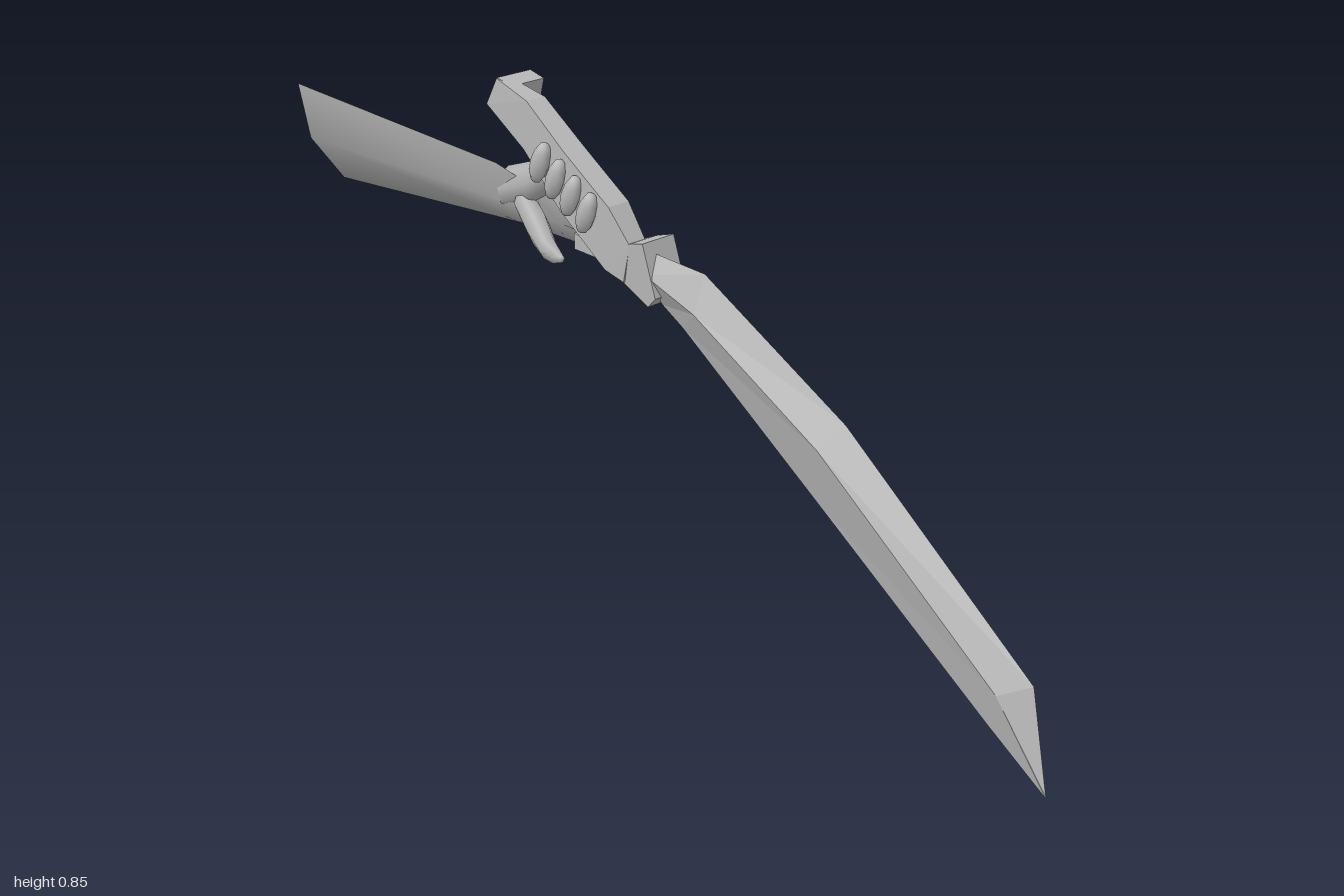
import * as THREE from 'three';

const steel = new THREE.MeshStandardMaterial({ color: 0xb8b8b8, side: THREE.DoubleSide });
steel.name = 'plain grey';

// Skin a row of cross-sections (each a list of [x, y, z]); flat or smooth.
function loft(name, sections, { closed = true, smooth = false } = {}) {
  const n = sections[0].length;
  const index = [];
  for (let s = 0; s < sections.length - 1; s++) {
    for (let i = 0; i < (closed ? n : n - 1); i++) {
      const a = s * n + i, b = s * n + (i + 1) % n;
      index.push(a, b, a + n, b, b + n, a + n);
    }
  }
  if (closed) {
    const last = (sections.length - 1) * n;
    for (let i = 1; i < n - 1; i++) {
      index.push(0, i + 1, i, last, last + i, last + i + 1);
    }
  }
  let geo = new THREE.BufferGeometry();
  geo.setAttribute('position', new THREE.Float32BufferAttribute(sections.flat(2), 3));
  geo.setIndex(index);
  if (!smooth) geo = geo.toNonIndexed();
  geo.computeVertexNormals();
  const mesh = new THREE.Mesh(geo, steel);
  mesh.name = name;
  return mesh;
}

// Rectangular section, slanted so that its top and bottom can differ in z.
const slab = ([x0, x1, top, zTop, bottom, zBottom]) => [
  [x0, top, zTop], [x1, top, zTop], [x1, bottom, zBottom], [x0, bottom, zBottom],
];

// Oval section of an arm or thumb.
function oval([x, y, z, rx, ry], sides = 8) {
  return Array.from({ length: sides }, (_, i) => {
    const a = -i / sides * Math.PI * 2;
    return [x + rx * Math.cos(a), y + ry * Math.sin(a), z];
  });
}

export function createModel() {
  const model = new THREE.Group();
  model.name = 'swordInHand';

  // Blade: spine, ridge on both sides, cutting edge.
  const blade = [
    // x, half width, spine y z, ridge y z, edge y z
    [-0.086, 0.024, 0.62, 0.06, 0.585, 0.07, 0.53, 0.09],
    [-0.1, 0.028, 0.615, 0.2, 0.55, 0.2, 0.507, 0.15],
    [-0.147, 0.028, 0.455, 0.545, 0.41, 0.51, 0.305, 0.49],
    [-0.204, 0.017, 0.17, 0.96, 0.14, 0.905, 0.075, 0.88],
    [-0.215, 0.001, 0.003, 1, 0.002, 1, 0, 1],
  ].map(([x, w, sy, sz, ry, rz, ey, ez]) => [
    [x, sy, sz], [x + w, ry, rz], [x, ey, ez], [x - w, ry, rz],
  ]).reverse();
  model.add(loft('blade', blade));

  // Flared collar between blade and grip.
  model.add(loft('collar', [
    [-0.115, -0.037, 0.642, 0.07, 0.55, 0.1],
    [-0.112, -0.045, 0.635, 0.04, 0.53, 0.08],
    [-0.105, -0.07, 0.62, 0.0, 0.56, 0.01],
  ].map(slab)));

  // Grip, deep in the middle and rising towards the pommel.
  model.add(loft('grip', [
    [-0.11, -0.07, 0.63, 0.035, 0.56, 0.02],
    [-0.115, -0.065, 0.69, -0.01, 0.575, -0.02],
    [-0.105, -0.055, 0.765, -0.13, 0.655, -0.14],
    [-0.085, -0.04, 0.83, -0.24, 0.74, -0.25],
    [-0.068, -0.04, 0.852, -0.335, 0.8, -0.363],
  ].map(slab)));

  // Pommel hooked out to the side, with a tapering tongue below.
  model.add(loft('pommel', [
    [-0.066, 0.016, 0.853, -0.335, 0.843, -0.3],
    [-0.062, 0.02, 0.8, -0.366, 0.798, -0.315],
    [-0.042, -0.008, 0.722, -0.29, 0.722, -0.27],
  ].map(([x0, x1, y0, z0, y1, z1]) => [
    [x0, y0, z0], [x1, y0, z0], [x1, y1, z1], [x0, y1, z1],
  ])));

  // Four fingers curled around the far side of the grip.
  const fingers = new THREE.Group();
  fingers.name = 'fingers';
  for (let i = 0; i < 4; i++) {
    const finger = new THREE.Mesh(new THREE.SphereGeometry(1, 8, 6), steel);
    finger.name = 'finger';
    finger.scale.set(0.017, 0.042, 0.019);
    finger.position.set(-0.118 + i * 0.004, 0.67 + i * 0.021, -0.06 - i * 0.042);
    finger.rotation.x = 0.35;
    fingers.add(finger);
  }
  model.add(fingers);

  // Palm and wrist running from the grip back into the sleeve.
  model.add(loft('palm', [
    [-0.075, 0.715, -0.14, 0.022, 0.03],
    [-0.065, 0.71, -0.19, 0.028, 0.038],
    [-0.045, 0.67, -0.26, 0.03, 0.04],
    [-0.02, 0.635, -0.36, 0.03, 0.04],
    [0.0, 0.62, -0.42, 0.012, 0.015],
  ].map((s) => oval(s)), { smooth: true }));

  // Heel of the hand below the grip, ending in the pointed thumb.
  model.add(loft('thumb', [
    [-0.178, 0.6, -0.06, 0.006, 0.006],
    [-0.16, 0.595, -0.095, 0.014, 0.015],
    [-0.125, 0.588, -0.15, 0.022, 0.02],
    [-0.085, 0.6, -0.215, 0.028, 0.03],
    [-0.04, 0.625, -0.3, 0.025, 0.03],
  ].map((s) => oval(s, 6)), { smooth: true }));

  // Underside strip joining the collar to the sleeve.
  model.add(loft('handGuardStrap', [
    [-0.1, -0.07, 0.575, 0.02, 0.56, 0.02],
    [-0.09, -0.05, 0.6, -0.06, 0.58, -0.06],
    [-0.07, -0.01, 0.605, -0.14, 0.575, -0.14],
  ].map(slab)));

  // Wide sleeve: an open trough that widens to the back.
  const sleeve = [
    [[-0.05, 0.615, -0.1], [-0.045, 0.595, -0.1], [-0.01, 0.58, -0.1], [0.025, 0.6, -0.1]],
    [[-0.06, 0.65, -0.2], [-0.05, 0.605, -0.19], [-0.01, 0.56, -0.18], [0.04, 0.602, -0.18]],
    [[-0.06, 0.69, -0.35], [-0.045, 0.615, -0.35], [0.0, 0.562, -0.35], [0.068, 0.602, -0.33]],
    [[0.0, 0.715, -1.0], [0.017, 0.6, -0.99], [0.09, 0.502, -0.98], [0.215, 0.59, -0.97]],
  ];
  model.add(loft('sleeve', sleeve, { closed: false, smooth: true }));

  return model;
}
